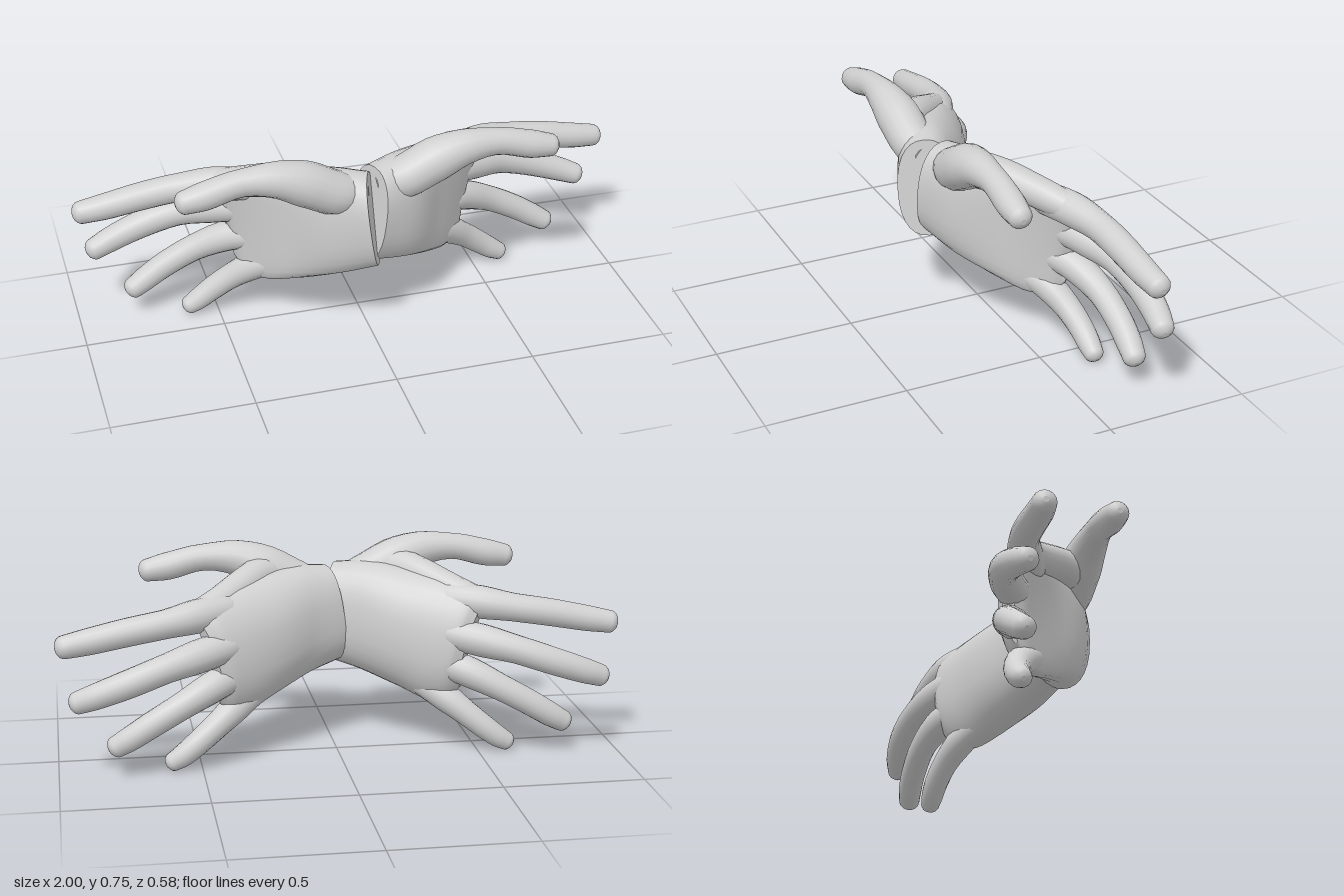
import * as THREE from 'three';

const SIDES = 16;
const V = (p) => new THREE.Vector3(p[0], p[1], p[2]);

// Skin a list of rings; both ends are closed with separate fans so a flat end stays crisp
function loft(rings, mirror) {
  const pos = [], index = [], n = rings[0].length;
  const put = (p) => pos.push(mirror ? -p.x : p.x, p.y, p.z) / 3 - 1;
  const tri = (a, b, c) => (mirror ? index.push(a, c, b) : index.push(a, b, c));
  rings.forEach((ring) => ring.forEach(put));
  for (let i = 0; i < rings.length - 1; i++) {
    for (let j = 0; j < n; j++) {
      const k = (j + 1) % n, a = i * n, b = a + n;
      tri(a + j, a + k, b + j);
      tri(a + k, b + k, b + j);
    }
  }
  [rings[0], rings[rings.length - 1]].forEach((ring, end) => {
    const mid = new THREE.Vector3();
    ring.forEach((p) => mid.addScaledVector(p, 1 / n));
    const c = put(mid), first = c + 1;
    ring.forEach(put);
    for (let j = 0; j < n; j++) {
      const a = first + j, b = first + (j + 1) % n;
      if (end) tri(c, a, b);
      else tri(c, b, a);
    }
  });
  const geo = new THREE.BufferGeometry();
  geo.setAttribute('position', new THREE.Float32BufferAttribute(pos, 3));
  geo.setIndex(index);
  geo.computeVertexNormals();
  return geo;
}

// Finger: points are [x, y, z, radius], with a blunt rounded tip
function finger(points, mirror) {
  const curve = new THREE.CatmullRomCurve3(points.map(V));
  const radii = new THREE.CatmullRomCurve3(points.map((p) => new THREE.Vector3(p[3], 0, 0)));
  const rings = [];
  const ring = (centre, t, r) => {
    const w = new THREE.Vector3().crossVectors(t, new THREE.Vector3(0, 1, 0)).normalize();
    const u = new THREE.Vector3().crossVectors(w, t);
    rings.push(Array.from({ length: SIDES }, (_, j) => {
      const a = (j / SIDES) * Math.PI * 2;
      return centre.clone().addScaledVector(u, r * Math.cos(a)).addScaledVector(w, r * Math.sin(a));
    }));
  };
  const steps = 20;
  for (let i = 0; i <= steps; i++) {
    ring(curve.getPoint(i / steps), curve.getTangent(i / steps), radii.getPoint(i / steps).x);
  }
  const tip = curve.getPoint(1), t = curve.getTangent(1), r = points[points.length - 1][3];
  [0.3, 0.6, 0.85, 0.97].forEach((s) => {
    ring(tip.clone().addScaledVector(t, s * r * 0.75), t, r * Math.sqrt(1 - s * s));
  });
  return loft(rings, mirror);
}

// Palm sections from wrist to knuckles: index edge, little finger edge, [half thickness, cupping]
const PALM = [
  { top: [0.02, 0.65, 0.15], low: [-0.025, 0.298, 0.155], shape: [0.103, 0.0, 0] },
  { top: [0.14, 0.66, 0.1], low: [0.12, 0.255, 0.105], shape: [0.108, 0.014, 0] },
  { top: [0.28, 0.64, 0.015], low: [0.25, 0.205, 0.025], shape: [0.09, 0.04, 0] },
  { top: [0.42, 0.61, -0.07], low: [0.34, 0.172, -0.05], shape: [0.068, 0.044, 0] },
  { top: [0.5, 0.585, -0.115], low: [0.4, 0.19, -0.1], shape: [0.05, 0.044, 0] },
  { top: [0.525, 0.56, -0.13], low: [0.435, 0.235, -0.13], shape: [0.02, 0.042, 0] },
];

function palm(mirror) {
  const [top, low, shape] = ['top', 'low', 'shape'].map(
    (key) => new THREE.CatmullRomCurve3(PALM.map((s) => V(s[key]))));
  const rings = [], steps = 20, n = 28;
  for (let i = 0; i <= steps; i++) {
    const s = i / steps, a = top.getPoint(s), b = low.getPoint(s), k = shape.getPoint(s);
    const mid = a.clone().lerp(b, 0.5), half = a.clone().sub(mid);
    const along = top.getTangent(s).add(low.getTangent(s)).normalize();
    const front = new THREE.Vector3().crossVectors(along, half).normalize();
    rings.push(Array.from({ length: n }, (_, j) => {
      const q = (j / n) * Math.PI * 2, c = Math.cos(q), d = Math.sin(q);
      const width = Math.sign(c) * Math.pow(Math.abs(c), 0.85);
      const depth = Math.sign(d) * Math.pow(Math.abs(d), 0.85) * k.x - k.y * (1 - c * c);
      return mid.clone().addScaledVector(half, width).addScaledVector(front, depth);
    }));
  }
  return loft(rings, mirror);
}

// Fingers start narrow inside the palm so that they swell out of it smoothly
const FINGERS = {
  thumb: [[0.03, 0.575, 0.135, 0.05], [0.13, 0.595, 0.145, 0.078], [0.23, 0.645, 0.15, 0.08],
    [0.34, 0.685, 0.158, 0.064], [0.47, 0.69, 0.158, 0.048], [0.58, 0.664, 0.16, 0.05], [0.66, 0.649, 0.163, 0.041]],
  thumbWeb: [[0.16, 0.62, 0.15, 0.05], [0.25, 0.632, 0.11, 0.065], [0.315, 0.62, 0.045, 0.06],
    [0.38, 0.594, -0.015, 0.057], [0.44, 0.57, -0.067, 0.054], [0.51, 0.55, -0.115, 0.046]],
  indexFinger: [[0.31, 0.55, -0.04, 0.03], [0.41, 0.552, -0.075, 0.058], [0.5, 0.546, -0.115, 0.06],
    [0.62, 0.53, -0.15, 0.051], [0.75, 0.51, -0.162, 0.05], [0.88, 0.485, -0.168, 0.047], [0.968, 0.47, -0.175, 0.041]],
  middleFinger: [[0.3, 0.45, -0.07, 0.03], [0.41, 0.435, -0.13, 0.058], [0.5, 0.42, -0.175, 0.059],
    [0.62, 0.393, -0.22, 0.051], [0.75, 0.35, -0.24, 0.05], [0.86, 0.31, -0.235, 0.046], [0.927, 0.285, -0.222, 0.04]],
  ringFinger: [[0.28, 0.35, -0.045, 0.03], [0.38, 0.325, -0.11, 0.054], [0.46, 0.3, -0.157, 0.055],
    [0.57, 0.248, -0.195, 0.048], [0.68, 0.187, -0.207, 0.046], [0.75, 0.143, -0.205, 0.044], [0.8, 0.113, -0.198, 0.039]],
  littleFinger: [[0.22, 0.285, 0.015, 0.025], [0.31, 0.24, -0.045, 0.05], [0.38, 0.198, -0.095, 0.052],
    [0.45, 0.146, -0.13, 0.046], [0.52, 0.091, -0.15, 0.043], [0.57, 0.053, -0.155, 0.04], [0.605, 0.032, -0.155, 0.034]],
};

export function createModel() {
  const model = new THREE.Group();
  const skin = new THREE.MeshStandardMaterial({ color: 0xd0d0d0 });
  skin.name = 'light grey';

  // Two mirrored hands, crossing at the wrists with the right one slightly forward
  [false, true].forEach((mirror) => {
    const hand = new THREE.Group();
    hand.name = mirror ? 'rightHand' : 'leftHand';
    const add = (name, geo) => {
      const mesh = new THREE.Mesh(geo, skin);
      mesh.name = name;
      hand.add(mesh);
    };
    add('palm', palm(mirror));
    for (const [name, points] of Object.entries(FINGERS)) add(name, finger(points, mirror));
    if (mirror) hand.position.z = 0.045;
    model.add(hand);
  });
  return model;
}
